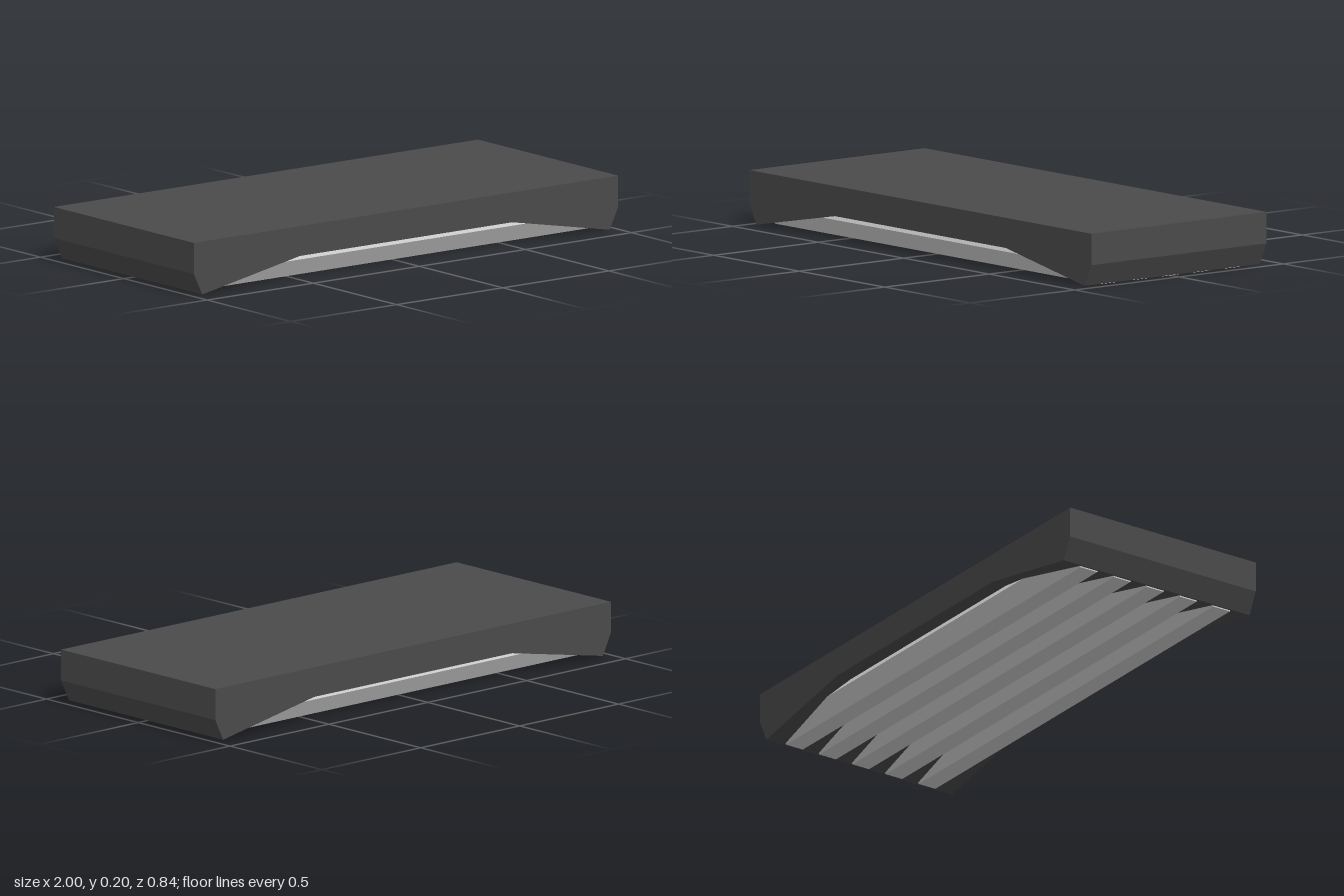
import * as THREE from 'three';

const DEPTH = 0.84;
const TUBES = 5;
const RADIUS = 0.075;
const PITCH = 0.15;

export function createModel() {
  const group = new THREE.Group();
  group.name = 'ceilingLight';
  const dark = new THREE.MeshStandardMaterial({ color: 0x4a4a4a, flatShading: true });
  const light = new THREE.MeshStandardMaterial({ color: 0xcccccc, flatShading: true });

  // Housing: flat top, bevelled ends and a shallow arch underneath
  const half = [[0.5, 0.09], [0.96, 0.003], [1, 0.085], [1, 0.203]];
  const mirrored = half.map(([x, y]) => [-x, y]).reverse();
  const shape = new THREE.Shape([...half, ...mirrored].map(([x, y]) => new THREE.Vector2(x, y)));
  const housingGeo = new THREE.ExtrudeGeometry(shape, { depth: DEPTH, bevelEnabled: false });
  housingGeo.translate(0, 0, -DEPTH / 2);
  const housing = new THREE.Mesh(housingGeo, dark);
  housing.name = 'housing';
  group.add(housing);

  // Six-sided lamp tubes, flat side down, half sunk in the arch
  const tubeGeo = new THREE.CylinderGeometry(RADIUS, RADIUS, 1.9, 6).rotateZ(Math.PI / 2);
  const apothem = RADIUS * Math.cos(Math.PI / 6);
  for (let i = 0; i < TUBES; i++) {
    const tube = new THREE.Mesh(tubeGeo, light);
    tube.name = `lampTube${i + 1}`;
    tube.position.set(0, apothem, (i - (TUBES - 1) / 2) * PITCH);
    group.add(tube);
  }
  return group;
}
